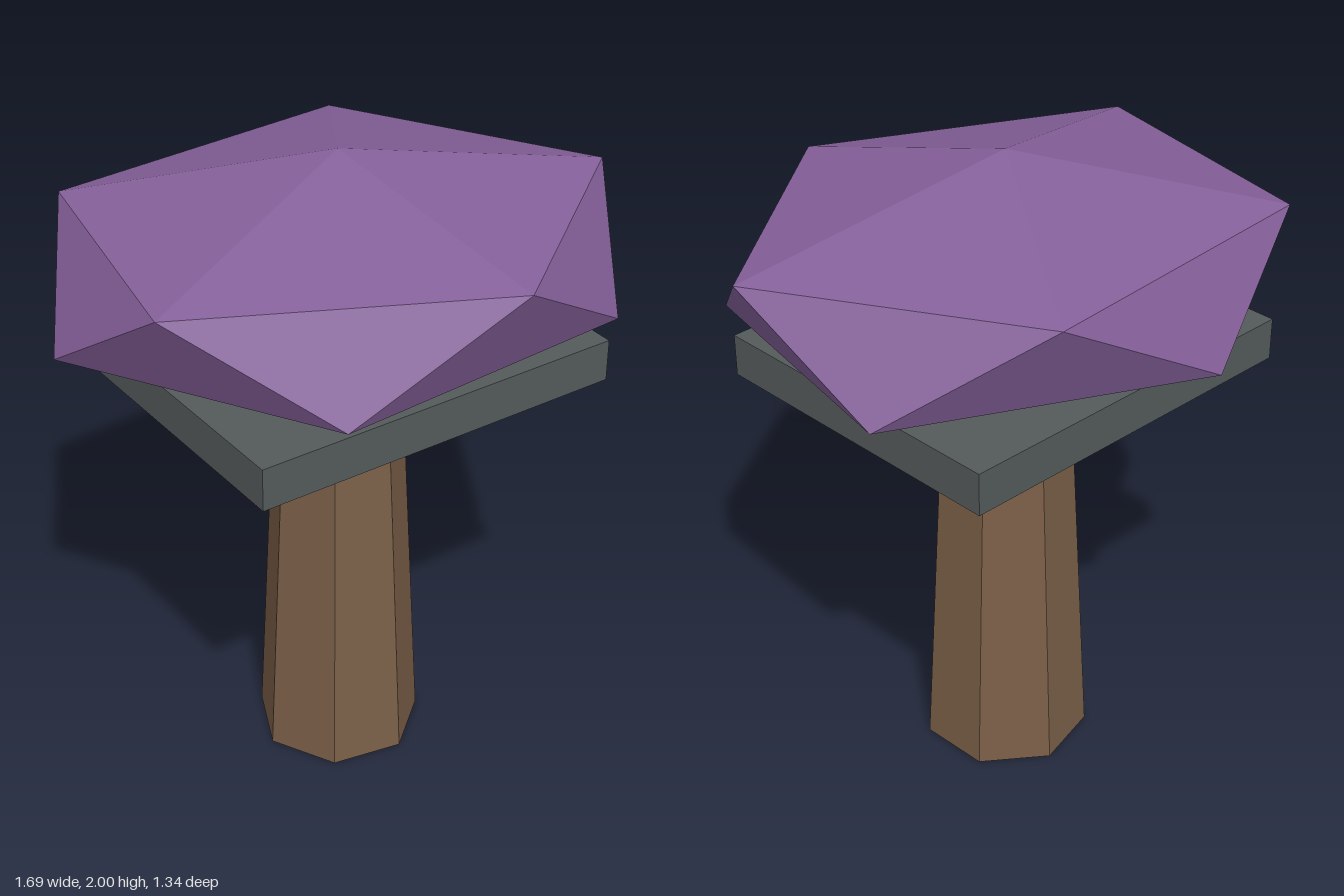
import * as THREE from 'three';

function part(name, geometry, color, y) {
  const material = new THREE.MeshStandardMaterial({ color, flatShading: true });
  const mesh = new THREE.Mesh(geometry, material);
  mesh.name = name;
  mesh.position.y = y;
  return mesh;
}

export function createModel() {
  const model = new THREE.Group();
  model.name = 'mushroomTree';

  // Seven-sided tapering trunk, one corner pointing to the back
  const trunk = part('trunk', new THREE.CylinderGeometry(0.192, 0.26, 1.31, 7), 0x7a5f48, 0.655);
  trunk.rotation.y = Math.PI;

  // Thin slab, turned slightly on the trunk
  const slab = part('slab', new THREE.BoxGeometry(1.183, 0.13, 1.02), 0x545a5a, 1.375);
  slab.rotation.y = 0.197;

  // Squashed icosahedron cap, stood on one of its points
  const capGeometry = new THREE.IcosahedronGeometry(1, 0);
  capGeometry.rotateX(-Math.atan((1 + Math.sqrt(5)) / 2));
  capGeometry.rotateY(Math.PI / 2);
  capGeometry.scale(0.946, 0.328, 0.788);
  const cap = part('cap', capGeometry, 0x85609a, 1.672);

  model.add(trunk, slab, cap);
  return model;
}
